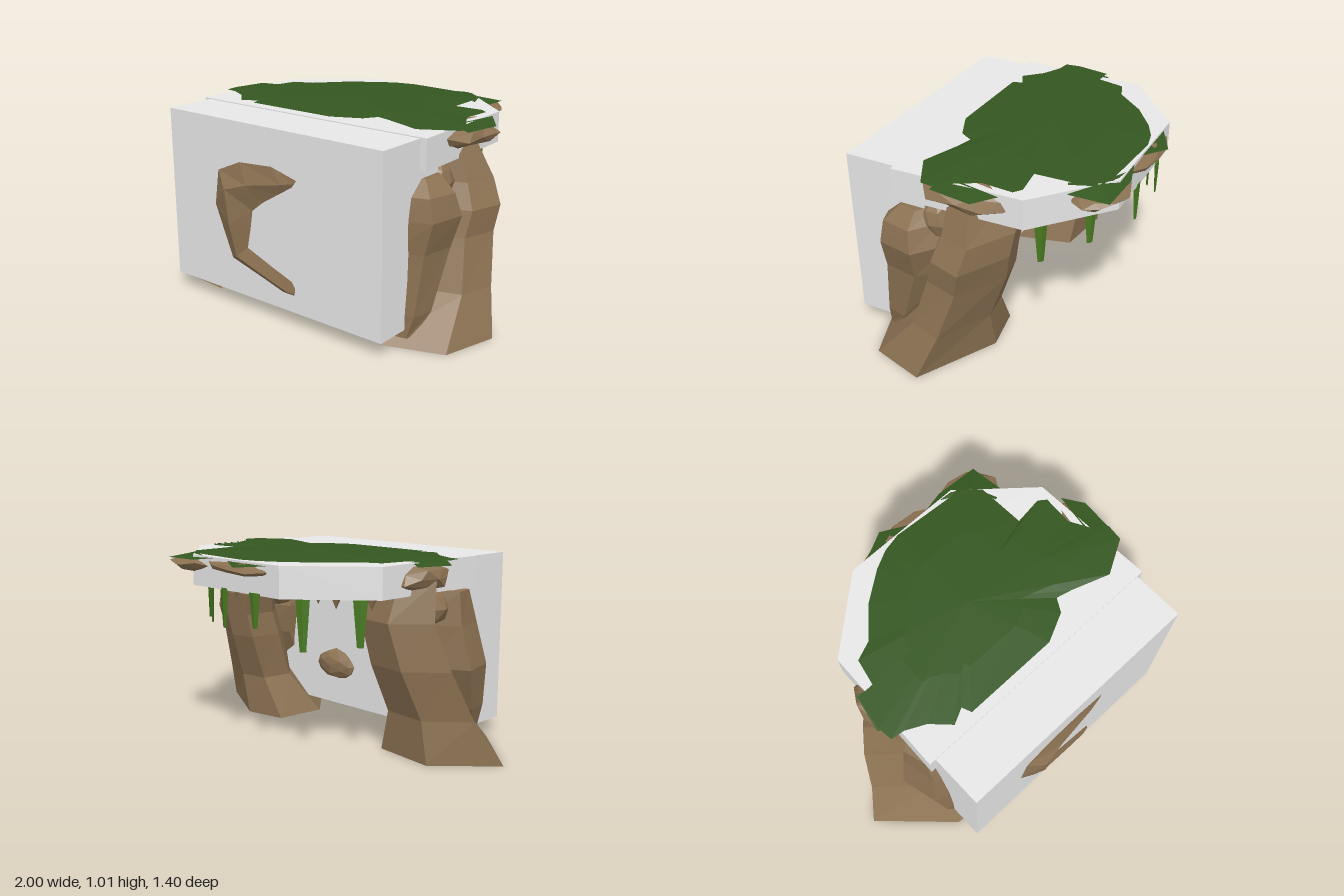
import * as THREE from 'three';

const flat = (hex, name, side = THREE.FrontSide) => {
  const m = new THREE.MeshStandardMaterial({ color: hex, side });
  m.name = name;
  return m;
};

function fromPoints(p) {
  const g = new THREE.BufferGeometry();
  g.setAttribute('position', new THREE.Float32BufferAttribute(p, 3));
  g.computeVertexNormals();
  return g;
}

// Closed faceted skin through equal-sized rings of [x, y, z] points
function loft(rings) {
  const p = [], n = rings[0].length;
  const tri = (a, b, c) => p.push(...a, ...b, ...c);
  for (let i = 0; i < rings.length - 1; i++)
    for (let j = 0; j < n; j++) {
      const k = (j + 1) % n, r = rings[i], s = rings[i + 1];
      tri(r[j], r[k], s[k]);
      tri(r[j], s[k], s[j]);
    }
  const lo = rings[0], hi = rings[rings.length - 1];
  for (let j = 1; j < n - 1; j++) {
    tri(lo[0], lo[j + 1], lo[j]);
    tri(hi[0], hi[j], hi[j + 1]);
  }
  return fromPoints(p);
}

// Upright column from a [x, z] footprint: rows of [y, cx, cz, sx, sz]
const column = (foot, rows) => loft(rows.map(([y, cx, cz, sx, sz]) =>
  foot.map(([x, z]) => [cx + x * sx, y, cz + z * sz])));

const ngon = (sides, phase) => Array.from({ length: sides }, (_, j) => {
  const a = phase + (j / sides) * Math.PI * 2;
  return [Math.cos(a), -Math.sin(a)];
});

// Irregular faceted boulder
function boulder(rx, ry, rz, seed) {
  const g = new THREE.IcosahedronGeometry(1, 1), p = g.attributes.position;
  for (let i = 0; i < p.count; i++) {
    const x = p.getX(i), y = p.getY(i), z = p.getZ(i);
    const k = 0.94 + 0.12 * Math.sin(x * 5.1 + seed) * Math.cos(y * 4.3 + z * 6.7 + seed * 2);
    p.setXYZ(i, x * rx * k, y * ry * k, z * rz * k);
  }
  g.computeVertexNormals();
  return g;
}

export function createModel() {
  const group = new THREE.Group();
  const rock = flat(0x8b7152, 'brown rock');
  const stone = flat(0xe8e8e8, 'pale grey');
  const grass = flat(0x345720, 'dark green', THREE.DoubleSide);
  const vine = flat(0x487820, 'vine green', THREE.DoubleSide);
  const add = (name, geo, mat, x = 0, y = 0, z = 0) => {
    const m = new THREE.Mesh(geo, mat);
    m.name = name;
    m.position.set(x, y, z);
    group.add(m);
    return m;
  };

  // Front block and roof slab with cut back corners
  add('frontBlock', new THREE.BoxGeometry(1.35, 0.9, 0.425), stone, 0.04, 0.53, 0.4325);
  const outline = [[-0.67, 0.37], [0.75, 0.37], [0.725, -0.31], [0.37, -0.62], [-0.29, -0.62], [-0.65, -0.31]];
  const slab = new THREE.ExtrudeGeometry(
    new THREE.Shape(outline.map(([x, z]) => new THREE.Vector2(x, -z))), { depth: 0.155, bevelEnabled: false });
  slab.rotateX(-Math.PI / 2);
  add('roofSlab', slab, stone, 0, 0.83, 0);

  // Leaning six-sided legs
  add('leftLeg', column(
    [[0.33, -0.06], [-0.07, -0.28], [-0.3, -0.24], [-0.33, 0.04], [-0.05, 0.33], [0.25, 0.22]], [
      [0, 0.67, 0.2, 1, 1], [0.22, 0.7, 0.09, 0.7, 0.62], [0.47, 0.675, 0.01, 0.63, 0.64],
      [0.6, 0.69, -0.02, 0.63, 0.62], [0.72, 0.65, -0.045, 0.58, 0.58], [0.9, 0.6, -0.02, 0.47, 0.43]]), rock);
  add('rightLeg', column(
    [[0.35, 0.11], [0.26, -0.25], [-0.07, -0.29], [-0.34, -0.03], [0, 0.3], [0.23, 0.32]], [
      [0, -0.66, 0.22, 1, 1], [0.22, -0.65, 0.11, 0.72, 0.65], [0.47, -0.6, 0.01, 0.66, 0.62],
      [0.7, -0.55, -0.04, 0.6, 0.58], [0.9, -0.57, -0.02, 0.5, 0.43]]), rock);

  // Rock pillars either side of the block
  add('leftPillar', column(ngon(6, 0.35), [
    [0.04, 0.65, 0.44, 0.1, 0.04], [0.15, 0.65, 0.38, 0.14, 0.11], [0.45, 0.66, 0.3, 0.16, 0.18],
    [0.61, 0.67, 0.29, 0.2, 0.19], [0.72, 0.66, 0.3, 0.18, 0.16], [0.79, 0.64, 0.28, 0.12, 0.1]]), rock);
  add('rightPillar', column(ngon(6, 2.8), [
    [0.06, -0.56, 0.42, 0.1, 0.06], [0.2, -0.54, 0.36, 0.18, 0.14], [0.43, -0.5, 0.29, 0.28, 0.2],
    [0.65, -0.5, 0.26, 0.23, 0.18], [0.82, -0.53, 0.24, 0.18, 0.12]]), rock);

  // Boulders: [name, x, y, z, rx, ry, rz]
  [['leftCapRock', 0.63, 0.925, -0.01, 0.22, 0.07, 0.26],
    ['rightCapRock', -0.58, 0.91, -0.02, 0.18, 0.085, 0.2],
    ['backRock', 0.03, 0.945, -0.57, 0.27, 0.035, 0.125],
    ['cornerRock', 0.41, 0.935, -0.54, 0.2, 0.045, 0.14],
    ['ceilingRock', 0.05, 0.83, 0.16, 0.48, 0.1, 0.18],
    ['leftShoulder', 0.61, 0.73, 0.17, 0.16, 0.13, 0.12],
    ['rightShoulder', -0.5, 0.74, 0.12, 0.19, 0.12, 0.13],
    ['innerKnob', 0.18, 0.31, 0.22, 0.15, 0.09, 0.06],
    ['floorRock', 0.25, 0.115, 0.45, 0.46, 0.09, 0.13],
  ].forEach(([name, x, y, z, a, b, c], i) => add(name, boulder(a, b, c, i * 1.7), rock, x, y, z));

  // Curved rock ridge breaking through the front face: outer, crest and inner edge
  const crest = [
    [[0.22, 0.755], [0.2, 0.735, 0.65], [0.19, 0.715]],
    [[0.06, 0.795], [0.13, 0.72, 0.662], [0.1, 0.66]],
    [[-0.15, 0.78], [-0.08, 0.68, 0.68], [0.0, 0.6]],
    [[-0.3, 0.715], [-0.21, 0.64, 0.698], [-0.07, 0.545]],
    [[-0.33, 0.53], [-0.19, 0.46, 0.692], [-0.085, 0.46]],
    [[-0.22, 0.265], [-0.17, 0.29, 0.668], [-0.11, 0.345]],
    [[0.0, 0.205], [0.03, 0.225, 0.664], [0.05, 0.285]],
    [[0.12, 0.17], [0.16, 0.185, 0.66], [0.18, 0.24]],
    [[0.195, 0.17], [0.2, 0.18, 0.65], [0.2, 0.21]],
  ];
  add('frontRidge', loft(crest.map(([o, r, i]) => [[...o, 0.6445], [...i, 0.6445], r])), rock);

  // Gently domed grass sheet
  const edge = [
    [-0.73, 0.08], [-0.7, -0.1], [-0.65, -0.02], [-0.61, -0.1], [-0.58, -0.24], [-0.48, -0.28], [-0.35, -0.43],
    [-0.2, -0.54], [-0.1, -0.59], [0, -0.612], [0.34, -0.59], [0.39, -0.6], [0.49, -0.51], [0.5, -0.25],
    [0.65, -0.27], [0.69, -0.24], [0.68, -0.08], [0.74, 0.03], [0.81, 0.08], [0.8, 0.17], [0.62, 0.27],
    [0.42, 0.2], [0.34, 0.18], [0.3, 0.25], [0.15, 0.32], [-0.36, 0.32], [-0.38, 0.27], [-0.46, 0.31],
    [-0.55, 0.22], [-0.65, 0.17], [-0.72, 0.16]];
  const mid = ([x, z]) => [x * 0.6, 1.004, -0.1 + (z + 0.1) * 0.6];
  const sheet = [];
  edge.forEach((e, i) => {
    const f = edge[(i + 1) % edge.length];
    const a = [e[0], 0.989, e[1]], b = [f[0], 0.989, f[1]], c = mid(e), d = mid(f);
    sheet.push(...a, ...c, ...b, ...b, ...c, ...d, ...c, 0, 1.01, -0.1, ...d);
  });
  add('grassTop', fromPoints(sheet), grass);

  // Drooping grass lips over the rim rocks, fanned from their first point
  const lip = (name, pts) => {
    const p = [];
    for (let i = 1; i < pts.length - 1; i++) p.push(...pts[0], ...pts[i + 1], ...pts[i]);
    add(name, fromPoints(p), grass);
  };
  lip('backLip', [[-0.05, 0.962, -0.7], [0.03, 0.975, -0.64], [0.12, 0.978, -0.6], [-0.24, 0.978, -0.6]]);
  lip('cornerLip', [[0.45, 0.988, -0.555], [0.36, 0.989, -0.61], [0.2, 0.98, -0.622], [0.32, 0.965, -0.655],
    [0.55, 0.96, -0.645], [0.57, 0.97, -0.45], [0.5, 0.989, -0.42]]);
  lip('leftLip', [[0.7, 0.988, 0.1], [0.75, 0.985, -0.2], [0.83, 0.965, -0.1], [0.81, 0.972, 0.12]]);
  lip('rightLip', [[-0.64, 0.988, 0.15], [-0.74, 0.965, 0.08], [-0.7, 0.97, -0.12], [-0.64, 0.986, -0.1]]);

  // Hanging flat vines: [x, z, length, turn]
  [[-0.55, -0.35, 0.24, 0.7], [-0.33, -0.51, 0.27, 0.6], [-0.12, -0.625, 0.17, 0.1], [0.125, -0.615, 0.2, -0.1],
    [0.39, -0.49, 0.22, -0.6], [0.61, -0.34, 0.24, -0.7]].forEach(([x, z, len, turn]) => {
    const g = new THREE.CylinderGeometry(0.036, 0.016, len, 4).toNonIndexed();
    g.scale(1, 1, 0.3);
    g.computeVertexNormals();
    add('vine', g, vine, x, 0.84 - len / 2, z).rotation.y = turn;
  });

  // Small stalactites under the slab
  [[-0.5, -0.22, 0.08], [-0.4, -0.36, 0.07], [-0.15, -0.47, 0.05], [-0.3, -0.5, 0.05], [0.1, -0.56, 0.05],
    [0.3, -0.38, 0.07], [0.5, -0.22, 0.08], [0.12, 0.02, 0.15]].forEach(([x, z, len]) => {
    const g = new THREE.ConeGeometry(len * 0.45, len, 5).toNonIndexed();
    g.rotateX(Math.PI);
    g.computeVertexNormals();
    add('stalactite', g, rock, x, 0.835 - len / 2, z);
  });
  return group;
}
